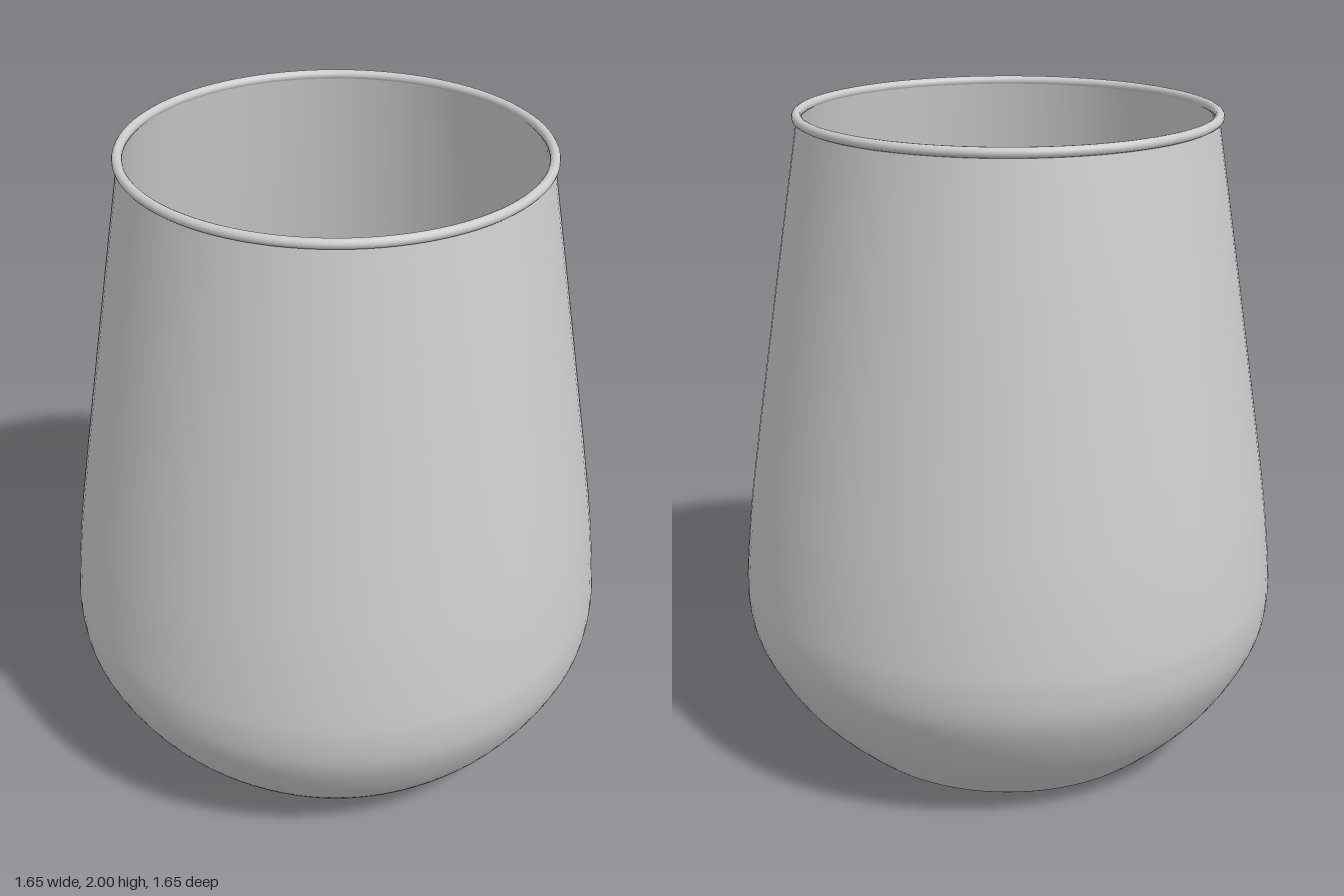
import * as THREE from 'three';

const SEGMENTS = 96;

// Smooth curve through a few [radius, height] points
function profile(points, divisions) {
  return new THREE.SplineCurve(points.map(([r, y]) => new THREE.Vector2(r, y))).getPoints(divisions);
}

export function createModel() {
  const model = new THREE.Group();
  model.name = 'tumbler';
  const glass = new THREE.MeshStandardMaterial({ color: 0xcccccc });
  glass.name = 'pale grey glass';

  const add = (name, geometry) => {
    const mesh = new THREE.Mesh(geometry, glass);
    mesh.name = name;
    model.add(mesh);
    return mesh;
  };
  const lathe = (points) => new THREE.LatheGeometry(points, SEGMENTS);

  // Shallow hollow underneath, running out to the standing ring
  add('base', lathe(profile([[0, 0.02], [0.2, 0.017], [0.38, 0.006], [0.45, 0.001], [0.48, 0]], 16)));

  // Outer wall: rounded foot, full belly, straight taper to the mouth
  add('outerWall', lathe(profile([
    [0.48, 0], [0.508, 0.012], [0.545, 0.04], [0.63, 0.12], [0.7, 0.2], [0.765, 0.3], [0.81, 0.4],
    [0.825, 0.5], [0.822, 0.6], [0.801, 0.8], [0.772, 1], [0.741, 1.2], [0.678, 1.6], [0.616, 1.985],
  ], 70)));

  // Inner wall and bowl-shaped floor, drawn from the mouth down to the centre
  add('innerWall', lathe(profile([
    [0.603, 1.985], [0.66, 1.6], [0.722, 1.2], [0.753, 1], [0.782, 0.8], [0.802, 0.6], [0.805, 0.5],
    [0.79, 0.41], [0.746, 0.31], [0.68, 0.21], [0.61, 0.135], [0.5, 0.07], [0.3, 0.045], [0, 0.04],
  ], 70)));

  // Rolled bead around the mouth
  const rim = add('rim', new THREE.TorusGeometry(0.616, 0.015, 14, SEGMENTS));
  rim.rotation.x = Math.PI / 2;
  rim.position.y = 1.985;

  return model;
}
